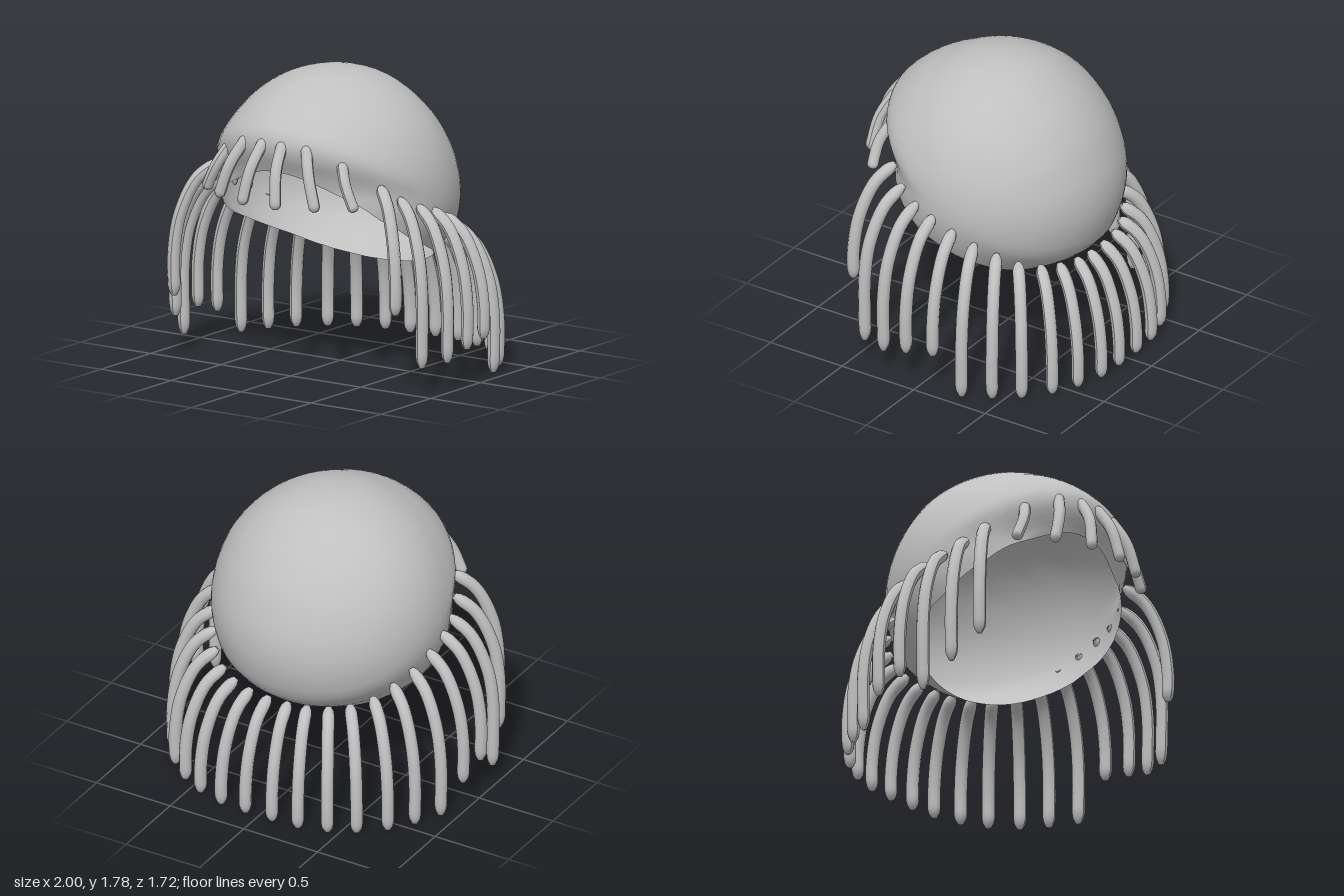
import * as THREE from 'three';

const hair = new THREE.MeshStandardMaterial({ color: 0xc0c0c0, side: THREE.DoubleSide });
hair.name = 'hairGrey';

// Linear lookup in a list of [key, value] pairs with rising keys
function lookup(table, k) {
  if (k <= table[0][0]) return table[0][1];
  for (let i = 1; i < table.length; i++) {
    const [a, va] = table[i - 1], [b, vb] = table[i];
    if (k <= b) return va + ((vb - va) * (k - a)) / (b - a);
  }
  return table[table.length - 1][1];
}

// Side profile: degrees from the top (front positive) -> radius
const PROFILE = [
  [-143, 0.65], [-119, 0.725], [-99, 0.71], [-87, 0.695], [-73, 0.675], [-52, 0.668],
  [-33, 0.68], [-18, 0.705], [0, 0.715], [31, 0.735], [49, 0.772], [57, 0.788],
  [62, 0.775], [67, 0.73], [72, 0.66], [80, 0.6],
];
// Sloping opening: z -> height of the rim
const RIM = [
  [-0.7, 0.3], [-0.37, 0.54], [-0.2, 0.66], [0, 0.76], [0.2, 0.85],
  [0.4, 0.99], [0.6, 1.2], [0.72, 1.33],
];

function domePoint(theta, a) {
  const d = new THREE.Vector3(
    Math.sin(theta) * Math.sin(a), Math.cos(theta), Math.sin(theta) * Math.cos(a));
  const side = lookup(PROFILE, THREE.MathUtils.radToDeg(Math.atan2(d.z, d.y)));
  const r = 0.72 + (side - 0.72) * (1 - d.x * d.x);
  return d.multiplyScalar(r).add(new THREE.Vector3(0, 1.06, 0.02));
}

// Hollow cap, each meridian running from the crown down to the rim
function domeGeometry(cols = 64, rows = 28) {
  const pos = [], index = [];
  const ends = [];
  for (let j = 0; j < cols; j++) {
    const a = (j / cols) * Math.PI * 2;
    let t = 0.3;
    for (; t < 2.7; t += 0.005) {
      const p = domePoint(t, a);
      if (p.y < lookup(RIM, p.z)) break;
    }
    ends.push(t);
  }
  for (let i = 0; i <= rows; i++) {
    for (let j = 0; j < cols; j++) {
      const p = domePoint((ends[j] * i) / rows, (j / cols) * Math.PI * 2);
      pos.push(p.x, p.y, p.z);
      if (i === rows) continue;
      const k = (j + 1) % cols;
      const A = i * cols + j, B = i * cols + k, C = A + cols, D = B + cols;
      if (i > 0) index.push(A, C, B);
      index.push(B, C, D);
    }
  }
  const g = new THREE.BufferGeometry();
  g.setAttribute('position', new THREE.Float32BufferAttribute(pos, 3));
  g.setIndex(index);
  g.computeVertexNormals();
  return g;
}

// Tube whose rings shrink towards both ends
function strandGeometry(points, radius) {
  const n = 28, sides = 10;
  const curve = new THREE.CatmullRomCurve3(points.map((p) => new THREE.Vector3(...p)));
  const g = new THREE.TubeGeometry(curve, n, radius, sides);
  const pos = g.attributes.position, v = new THREE.Vector3();
  for (let i = 0; i <= n; i++) {
    const e = Math.min(i, n - i);
    const s = e === 0 ? 0.45 : e === 1 ? 0.86 : 1;
    const c = curve.getPointAt(i / n);
    for (let j = 0; j <= sides; j++) {
      const k = i * (sides + 1) + j;
      v.fromBufferAttribute(pos, k).sub(c).multiplyScalar(s).add(c);
      pos.setXYZ(k, v.x, v.y, v.z);
    }
  }
  // Close the tip with a fan
  const tip = curve.getPointAt(1);
  const all = [...pos.array, tip.x, tip.y, tip.z];
  const idx = [...g.index.array], last = pos.count, base = n * (sides + 1);
  for (let j = 0; j < sides; j++) idx.push(base + j, last, base + j + 1);
  const out = new THREE.BufferGeometry();
  out.setAttribute('position', new THREE.Float32BufferAttribute(all, 3));
  out.setIndex(idx);
  out.computeVertexNormals();
  return out;
}

// Hanging strands: tip x, tip z, root height, tip height on the left, on the right
const STRANDS = [
  [0.79, 0.56, 1.19, 0.48, 0.39], [0.88, 0.42, 1.11, 0.15, 0.23],
  [0.94, 0.25, 1.05, 0.16, 0.08], [0.96, 0.08, 1.01, 0.21, 0.21],
  [0.95, -0.1, 0.95, 0.24, 0.15], [0.9, -0.27, 0.88, 0, 0],
  [0.82, -0.43, 0.82, 0, 0], [0.72, -0.57, 0.76, 0, 0],
  [0.58, -0.69, 0.72, 0, 0], [0.43, -0.77, 0.7, 0, 0],
  [0.26, -0.82, 0.69, 0, 0], [0.09, -0.83, 0.68, 0, 0],
];
// Fringe strands: root, middle, tip
const FRINGE = [
  [[0.065, 1.44, 0.67], [0.09, 1.28, 0.775], [0.12, 1.07, 0.825]],
  [[0.21, 1.43, 0.64], [0.28, 1.27, 0.715], [0.345, 1.07, 0.74]],
  [[0.4, 1.34, 0.55], [0.46, 1.22, 0.6], [0.53, 1.07, 0.605]],
];

export function createModel() {
  const model = new THREE.Group();
  const add = (geometry, name) => {
    const m = new THREE.Mesh(geometry, hair);
    m.name = name;
    model.add(m);
  };
  add(domeGeometry(), 'hairCap');

  for (const s of [1, -1]) {
    const label = s > 0 ? 'left' : 'right';
    STRANDS.forEach(([x, z, rootY, leftTip, rightTip], i) => {
      const tipY = s > 0 ? leftTip : rightTip;
      const at = (k, y) => [s * x * k, y, z * k];
      add(strandGeometry([
        at(0.73, rootY), at(0.86, rootY - 0.1), at(0.96, rootY - 0.3),
        at(1, rootY - 0.52), at(1, Math.min(tipY, rootY - 0.65)),
      ], 0.038), `${label}Strand${i + 1}`);
    });
    FRINGE.forEach((pts, i) => {
      add(strandGeometry(pts.map(([x, y, z]) => [s * x, y, z]), 0.034),
        `${label}FringeStrand${i + 1}`);
    });
  }
  return model;
}
